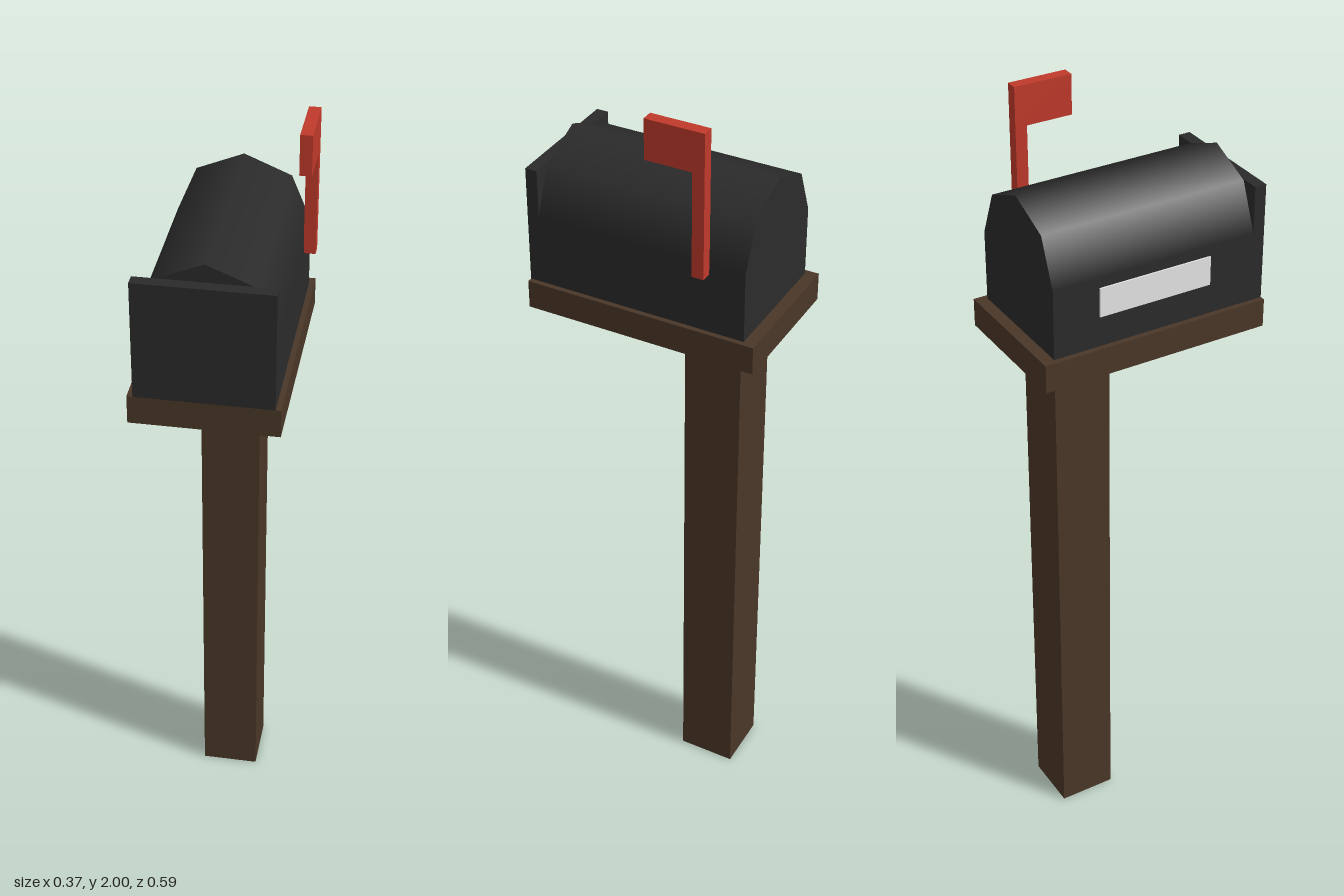
import * as THREE from 'three';

const material = (name, color) => {
  const m = new THREE.MeshStandardMaterial({ color });
  m.name = name;
  return m;
};

export function createModel() {
  const wood = material('brown wood', 0x4a3728);
  const metal = material('dark metal', 0x2b2b2b);
  const red = material('flag red', 0xc0392b);
  const white = material('plate white', 0xf0f0f0);

  const model = new THREE.Group();
  model.name = 'mailbox';

  // Adds a box given its extents along each axis
  const box = (name, mat, [x0, x1], [y0, y1], [z0, z1]) => {
    const mesh = new THREE.Mesh(new THREE.BoxGeometry(x1 - x0, y1 - y0, z1 - z0), mat);
    mesh.position.set((x0 + x1) / 2, (y0 + y1) / 2, (z0 + z1) / 2);
    mesh.name = name;
    model.add(mesh);
  };

  // Wooden stand
  box('post', wood, [-0.082, 0.066], [0, 1.41], [-0.219, -0.071]);
  box('platform', wood, [-0.186, 0.169], [1.41, 1.482], [-0.298, 0.296]);

  // Box body with a four-sided half-round lid
  const cx = -0.008, radius = 0.164, springY = 1.66, back = -0.268, front = 0.266;
  box('body', metal, [cx - radius, cx + radius], [1.482, springY], [back, front]);
  const lidGeometry = new THREE.CylinderGeometry(
    radius, radius, front - back, 4, 1, false, -Math.PI / 2, Math.PI);
  lidGeometry.rotateX(-Math.PI / 2);
  const lid = new THREE.Mesh(lidGeometry, metal);
  lid.position.set(cx, springY, (front + back) / 2);
  lid.name = 'roundedLid';
  model.add(lid);

  // Square door on the front
  box('door', metal, [cx - radius, cx + radius], [1.482, 1.779], [front, 0.296]);

  // Signal flag on the left side
  box('flagPole', red, [0.155, 0.184], [1.636, 1.9], [-0.178, -0.148]);
  box('flag', red, [0.155, 0.184], [1.9, 2], [-0.178, -0.03]);

  // Blank plate on the right side
  box('sidePlate', white, [-0.176, -0.171], [1.56, 1.634], [-0.149, 0.147]);

  return model;
}
